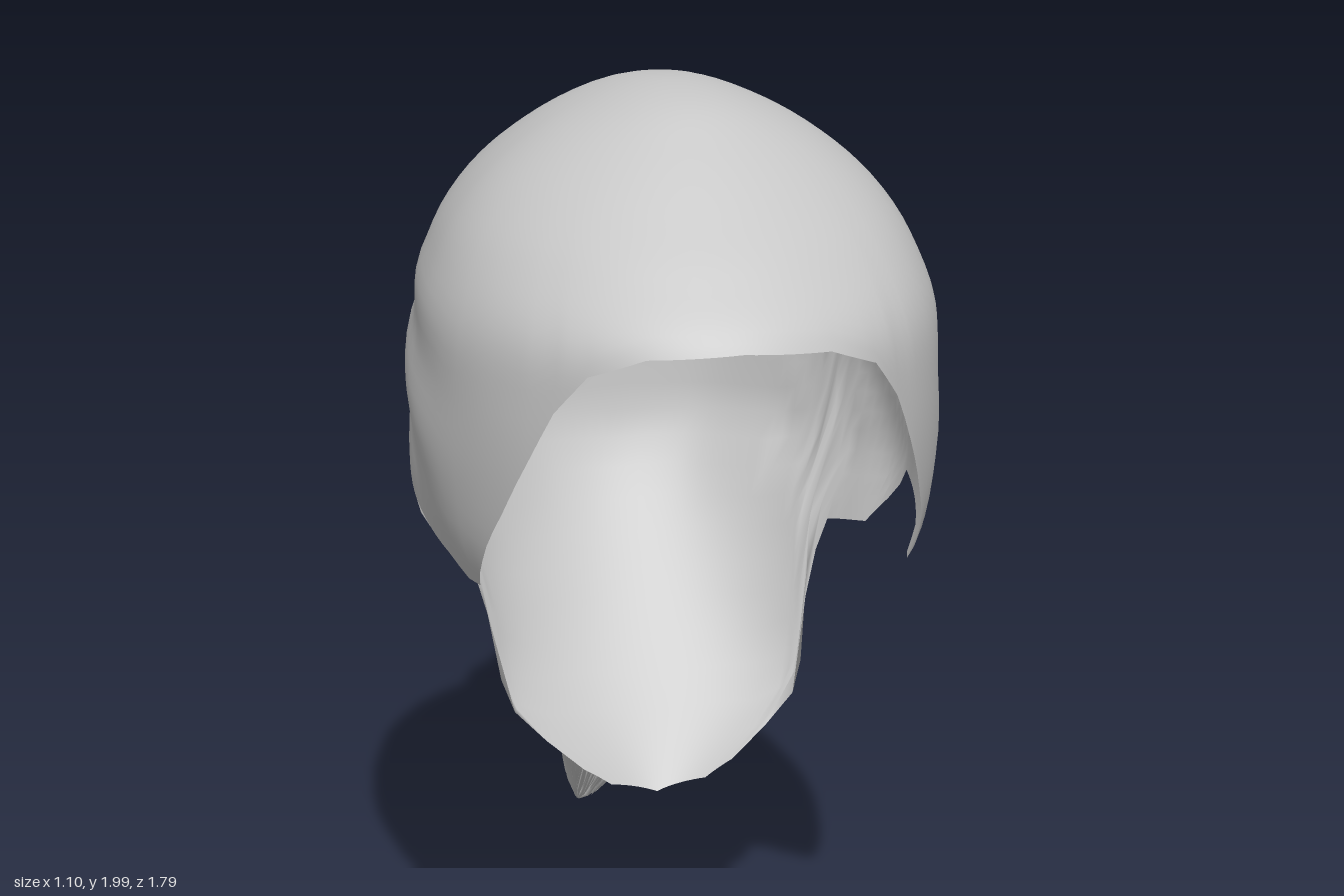
import * as THREE from 'three';
import { mergeGeometries, mergeVertices } from 'three/addons/utils/BufferGeometryUtils.js';

const hair = new THREE.MeshStandardMaterial({ color: 0xc6c6c6, side: THREE.DoubleSide });
hair.name = 'hair grey';

// Small seeded random
let seed = 7;
const rnd = () => (seed = (seed * 16807) % 2147483647) / 2147483647;

// Skin a list of closed rings of [x, y, z] points
function loft(rings) {
  const n = rings[0].length, index = [];
  for (let r = 0; r < rings.length - 1; r++) {
    for (let i = 0; i < n; i++) {
      const a = r * n + i, b = r * n + (i + 1) % n;
      index.push(a, b, a + n, b, b + n, a + n);
    }
  }
  let g = new THREE.BufferGeometry();
  g.setAttribute('position', new THREE.Float32BufferAttribute(rings.flat(2), 3));
  g.setIndex(index);
  g = mergeVertices(g, 1e-5);
  g.computeVertexNormals();
  return g;
}

function part(name, geometry) {
  const m = new THREE.Mesh(geometry, hair);
  m.name = name;
  return m;
}

// Head sections: y, front z, back z, centre z, half width
const SECTIONS = [
  [2.0, 0.2, 0.2, 0.2, 0], [1.97, 0.42, -0.02, 0.21, 0.15], [1.9, 0.54, -0.16, 0.23, 0.29],
  [1.8, 0.67, -0.3, 0.25, 0.41], [1.7, 0.79, -0.37, 0.26, 0.48], [1.58, 0.9, -0.4, 0.27, 0.522],
  [1.45, 0.91, -0.4, 0.27, 0.54], [1.25, 0.9, -0.39, 0.26, 0.54], [1.1, 0.88, -0.37, 0.25, 0.52],
  [0.97, 0.86, -0.3, 0.25, 0.46], [0.8, 0.84, -0.17, 0.25, 0.425], [0.6, 0.82, -0.02, 0.25, 0.385],
  [0.45, 0.8, 0.08, 0.25, 0.19], [0.38, 0.8, 0.13, 0.25, 0.1],
];
const depth = (y) => Math.sqrt(Math.max(0, 2 - y));
const section = new THREE.CubicInterpolant(
  SECTIONS.map((s) => depth(s[0])), SECTIONS.flatMap((s) => s.slice(1)), 4);

// Hem height by angle in degrees from the nape (0) to the forehead (180)
const HEM = [[0, 0.4], [40, 0.43], [50, 0.47], [54, 0.6], [57, 0.8], [60, 0.9], [63, 0.97], [78, 1.0],
  [82, 1.06], [86, 1.13], [95, 1.1], [104, 1.07], [109, 1.03], [114, 1.03], [120, 1.1], [128, 1.22],
  [135, 1.34], [141, 1.45], [148, 1.53], [160, 1.57], [180, 1.58]];

function capPoint(deg, y, side) {
  const [zf, zb, zc, w] = section.evaluate(depth(y));
  const a = THREE.MathUtils.degToRad(deg), c = Math.cos(a), s = Math.sin(a);
  // the back half is slightly squarer than an ellipse
  const p = c > 0 && y > 1.1 ? 0.92 : 1;
  let x = w * Math.pow(Math.abs(s), p);
  let z = c > 0 ? zc + (zb - zc) * Math.pow(c, p) : zc - (zf - zc) * c;
  // combed locks fan out from the tie; the nape lies a little deeper
  const dy = 1.66 - y, dz = z + 0.42, fan = Math.atan2(dy, dz), d = Math.hypot(dy, dz);
  const S = THREE.MathUtils.smoothstep;
  const fade = S(s, 0.25, 0.7) * S(d, 0.08, 0.3) * (1 - S(d, 0.7, 1.15)) * S(fan, -0.1, 0.2) * (1 - S(fan, 0.9, 1.1));
  const k = 1 + 0.012 * Math.sin(fan * 19) * fade - 0.02 * S(fan, 0.98, 1.08) * S(s, 0.3, 0.6) * S(y, 0.9, 1.05);
  x *= k;
  z = zc + (z - zc) * k;
  return [x * side, y, z];
}

function capGeometry() {
  const cols = [];
  for (let i = 0; i < HEM.length - 1; i++) {
    const [a0, y0] = HEM[i], [a1, y1] = HEM[i + 1], n = Math.ceil((a1 - a0) / 3);
    for (let j = 0; j < n; j++) cols.push([a0 + (a1 - a0) * j / n, y0 + (y1 - y0) * j / n, 1]);
  }
  const other = cols.slice(1).reverse().map(([a, y]) => [a, y, -1]);
  cols.push([180, 1.58, 1], ...other);
  const rings = [], rows = 36;
  for (let r = 0; r <= rows; r++) {
    const t = Math.pow(r / rows, 1.7);
    rings.push(cols.map(([a, hem, side]) => capPoint(a, 2 - (2 - hem) * t, side)));
  }
  return loft(rings);
}

// Gathered neck: z, centre y, half width, half height
function neckGeometry() {
  const rings = [[-0.27, 1.68, 0.25, 0.12], [-0.34, 1.68, 0.19, 0.115], [-0.4, 1.675, 0.135, 0.107],
    [-0.46, 1.665, 0.1, 0.095], [-0.52, 1.655, 0.09, 0.092], [-0.575, 1.65, 0.095, 0.075], [-0.6, 1.64, 0.06, 0.04],
    [-0.605, 1.635, 0, 0]];
  return loft(rings.map(([z, y, rx, ry]) => Array.from({ length: 24 }, (_, i) => {
    const a = i / 24 * Math.PI * 2;
    return [rx * Math.cos(a), y + ry * Math.sin(a), z];
  })));
}

// Ponytail stations: front z, front y, back z, back y, half width
const TAIL = [
  [-0.5, 1.57, -0.575, 1.71, 0.075], [-0.535, 1.45, -0.67, 1.57, 0.125], [-0.57, 1.33, -0.77, 1.38, 0.17],
  [-0.58, 1.2, -0.845, 1.22, 0.19], [-0.52, 0.98, -0.88, 0.97, 0.2], [-0.42, 0.8, -0.87, 0.7, 0.185],
  [-0.3, 0.62, -0.76, 0.6, 0.16], [-0.21, 0.47, -0.61, 0.5, 0.13], [-0.27, 0.37, -0.68, 0.42, 0.115],
  [-0.5, 0.21, -0.78, 0.3, 0.075], [-0.7, 0.08, -0.82, 0.17, 0.04], [-0.84, 0.01, -0.85, 0.03, 0.008],
];
function tailPoint([fz, fy, bz, by, w], a, k) {
  const c = Math.cos(a) * k;
  return [w * Math.sin(a) * k, (fy + by) / 2 + (by - fy) / 2 * c, (fz + bz) / 2 + (bz - fz) / 2 * c];
}

// Fluted body of the ponytail
function tailGeometry() {
  const n = 64;
  return loft(TAIL.map((st) => Array.from({ length: n }, (_, i) =>
    tailPoint(st, i / n * Math.PI * 2, i % 2 ? 0.93 : 0.99))));
}

// One thin tapering strand lying along the ponytail
function strandGeometry(angle) {
  const lift = 0.97 + rnd() * 0.06, flare = rnd() * 0.1, r = 0.005 + rnd() * 0.004;
  const start = Math.floor(rnd() * 3), end = TAIL.length - 1 - Math.floor(rnd() * 2);
  const rings = [];
  for (let s = start; s <= end; s++) {
    const k = lift + flare * Math.max(0, s - 5) / 6;
    const [x, y, z] = tailPoint(TAIL[s], angle, k);
    const q = s === end || s === start ? 0.0005 : r;
    rings.push([0, 1, 2].map((i) => {
      const b = angle + i * Math.PI * 2 / 3;
      return [x + q * Math.sin(b), Math.max(0, y), z - q * Math.cos(b)];
    }));
  }
  return loft(rings);
}

export function createModel() {
  const group = new THREE.Group();
  group.name = 'ponytailHair';
  group.add(part('hairCap', capGeometry()));
  group.add(part('gatheredNeck', neckGeometry()));
  group.add(part('ponytail', tailGeometry()));
  const strands = [];
  for (let i = 0; i < 90; i++) strands.push(strandGeometry((i + rnd()) / 90 * Math.PI * 2));
  group.add(part('looseStrands', mergeGeometries(strands)));
  return group;
}
